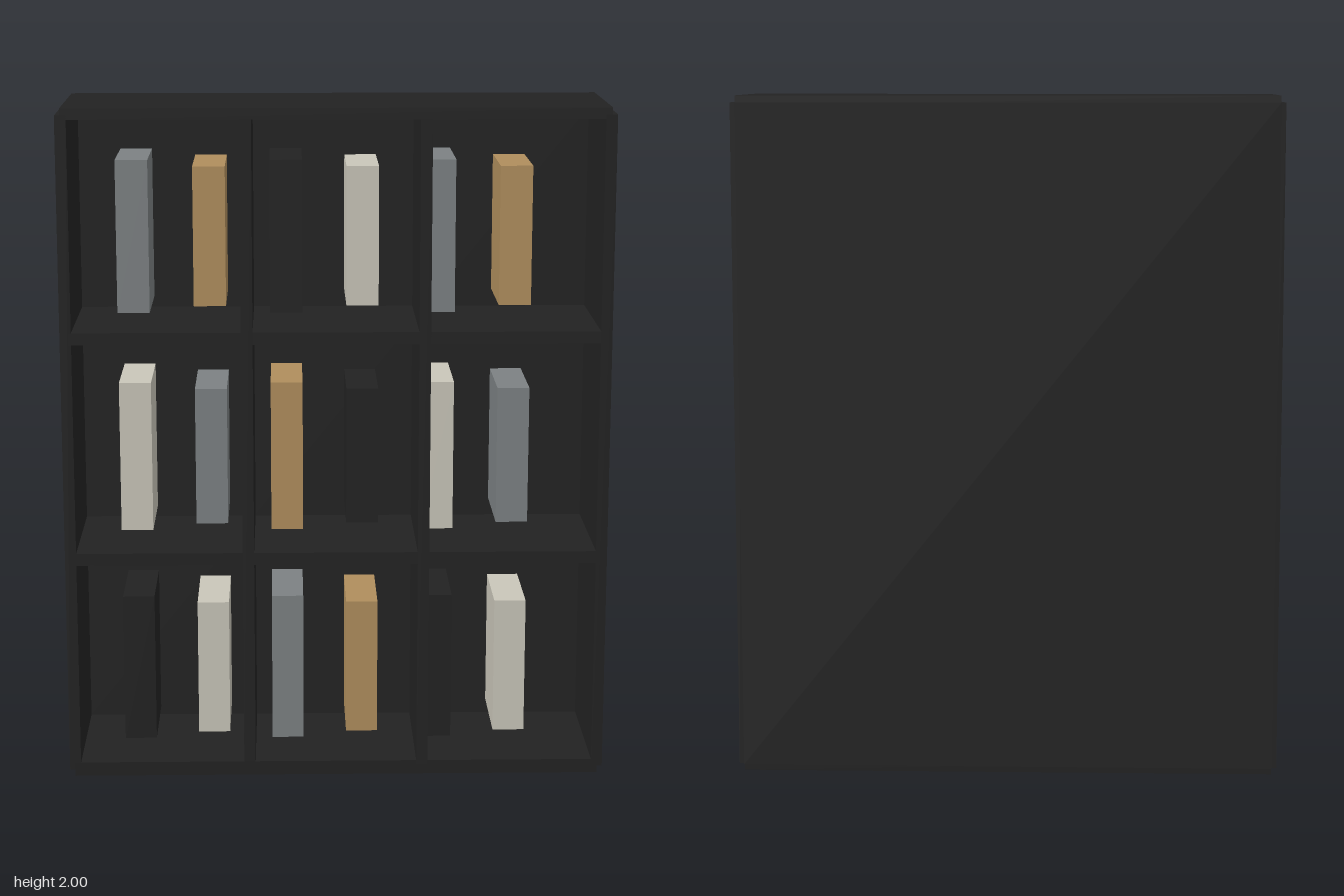
import * as THREE from 'three';

const mat = (name, color) => new THREE.MeshStandardMaterial({ name, color });

export function createModel() {
  const black = mat('black', 0x222222);
  const grey = mat('grey', 0x7c8183);
  const tan = mat('tan', 0xb08e5d);
  const cream = mat('cream', 0xc9c6b9);

  const group = new THREE.Group();
  group.name = 'bookcase';

  // Box given by its lower and upper limits on each axis
  const slab = (name, material, [x0, x1], [y0, y1], [z0, z1]) => {
    const mesh = new THREE.Mesh(new THREE.BoxGeometry(x1 - x0, y1 - y0, z1 - z0), material);
    mesh.position.set((x0 + x1) / 2, (y0 + y1) / 2, (z0 + z1) / 2);
    mesh.name = name;
    group.add(mesh);
  };

  // Outer case: the side panels and the back stand slightly proud at the corners
  const depth = [-0.215, 0.228];
  slab('rightSide', black, [-0.8, -0.767], [0.02, 1.98], depth);
  slab('leftSide', black, [0.767, 0.8], [0.02, 1.98], depth);
  slab('bottomPanel', black, [-0.785, 0.785], [0, 0.042], depth);
  slab('topPanel', black, [-0.785, 0.785], [1.967, 2], depth);
  slab('backPanel', black, [-0.785, 0.785], [0.02, 1.98], [-0.228, -0.2]);

  // Inner dividers and shelves, flush with the front of the case
  for (const x of [-0.26, 0.257]) {
    slab('divider', black, [x - 0.017, x + 0.017], [0.03, 1.97], [-0.21, 0.228]);
  }
  for (const y of [0.674, 1.335]) {
    slab('shelf', black, [-0.775, 0.775], [y - 0.018, y + 0.018], [-0.21, 0.228]);
  }

  // Books: three rows of six, alternating tall and short, colours in a cycle
  const cycle = [grey, tan, black, cream];
  [1.62, 0.965, 0.312].forEach((y, row) => {
    for (let i = 0; i < 6; i++) {
      const x = -0.59 + i * 0.2225;
      const half = i % 2 ? 0.204 : 0.223;
      slab('book', cycle[(i + row * 3) % 4], [x - 0.047, x + 0.047], [y - half, y + half], [-0.14, 0.145]);
    }
  });

  return group;
}
